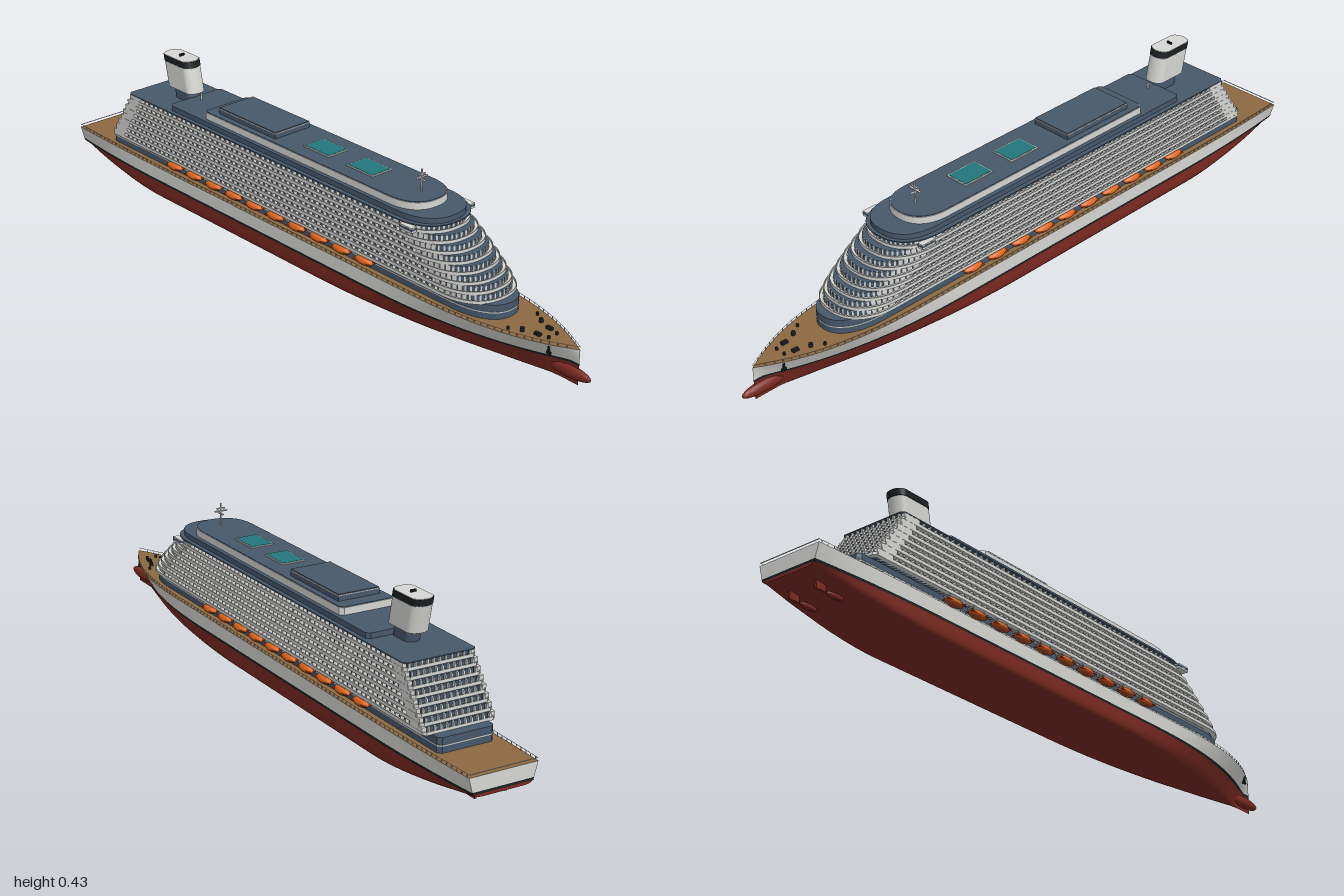
import * as THREE from 'three';
import { mergeGeometries } from 'three/addons/utils/BufferGeometryUtils.js';

const mat = (name, color) => {
  const m = new THREE.MeshStandardMaterial({ color, side: THREE.DoubleSide });
  m.name = name;
  return m;
};
const white = mat('white paint', 0xd6d6d3), blue = mat('slate blue', 0x46586b), red = mat('hull red', 0x7a2a21),
  dark = mat('black trim', 0x1b2022), wood = mat('teak deck', 0x8c6a42), orange = mat('lifeboat orange', 0xe0641c),
  rust = mat('lifeboat hull', 0xb4491a), teal = mat('pool water', 0x23757c);

const DECK = 0.1, WATER = 0.06, BOOT = 0.053;

// Hull half breadth at station x and level y
function halfBeam(x, y) {
  const s = Math.min(y / DECK, 1), start = 0.1 + 0.3 * s, nose = 0.88 + 0.08 * s;
  if (x > start) return 0.11 * Math.max(0, 1 - Math.pow(Math.min((x - start) / (nose - start), 1), 1.9 + 1.2 * s));
  if (x < -0.6) {
    const t = (-0.6 - x) / 0.4;
    return 0.11 * (1 - (0.08 + 0.25 * (1 - s)) * t * t);
  }
  return 0.11;
}
const keel = x => (x < -0.6 ? 0.045 * Math.pow((-0.6 - x) / 0.4, 1.5) : 0);

// Surface through a grid of points: rows of [x, y, z]
function loft(rows) {
  const n = rows[0].length, idx = [];
  for (let i = 0; i < rows.length - 1; i++)
    for (let j = 0; j < n - 1; j++) {
      const a = i * n + j, b = a + n;
      idx.push(a, b, a + 1, b, b + 1, a + 1);
    }
  const g = new THREE.BufferGeometry();
  g.setAttribute('position', new THREE.Float32BufferAttribute(rows.flat(2), 3));
  g.setIndex(idx);
  g.computeVertexNormals();
  return g;
}

function box(w, h, d, x, y, z, ry = 0) {
  return new THREE.BoxGeometry(w, h, d).rotateY(ry).translate(x, y, z);
}
const cyl = (r, h, x, y, z) => new THREE.CylinderGeometry(r, r, h, 10).translate(x, y, z);
const ball = (sx, sy, sz, x, y, z) => new THREE.SphereGeometry(1, 18, 12).scale(sx, sy, sz).translate(x, y, z);

// Deck outline with a square stern and a rounded front
function outline(back, front, w, nose) {
  const pts = [[back, -w + 0.01], [back + 0.01, -w]];
  for (let i = 0; i <= 24; i++) {
    const a = -Math.PI / 2 + (Math.PI * i) / 24, s = Math.sin(a);
    pts.push([front - nose + nose * Math.pow(Math.max(Math.cos(a), 0), 0.85), w * Math.sign(s) * Math.pow(Math.abs(s), 0.85)]);
  }
  pts.push([back + 0.01, w], [back, w - 0.01]);
  return pts.map(p => new THREE.Vector2(...p));
}
function prism(shape, y, h) {
  return new THREE.ExtrudeGeometry(shape, { depth: h, bevelEnabled: false, curveSegments: 12 })
    .rotateX(-Math.PI / 2).translate(0, y, 0);
}
const tier = (back, front, w, nose, y, h) => prism(new THREE.Shape(outline(back, front, w, nose)), y, h);
function ring(back, front, w, nose, y, h, t = 0.002) {
  const s = new THREE.Shape(outline(back, front, w, nose));
  s.holes.push(new THREE.Path(outline(back + t, front - t, w - t, nose)));
  return prism(s, y, h);
}

export function createModel() {
  const ship = new THREE.Group();
  ship.name = 'cruiseShip';
  const add = (name, material, ...geos) => {
    const list = geos.flat().map(g => (g.index ? g.toNonIndexed() : g));
    list.forEach(g => g.deleteAttribute('uv'));
    const m = new THREE.Mesh(mergeGeometries(list), material);
    m.name = name;
    ship.add(m);
  };

  // Hull: red bottom, black boot stripe and white topsides
  const stations = Array.from({ length: 71 }, (_, i) => -1 + (1.96 * i) / 70);
  const bottom = [[0, 0], [0, 0.6], [0.001, 0.84], [0.005, 0.95], [0.013, 1], [0.03, 1], [BOOT, 1]];
  const bands = [['hullBottom', red, bottom], ['bootStripe', dark, [[BOOT, 1], [WATER, 1]]],
    ['topsides', white, [[WATER, 1], [0.08, 1], [DECK, 1]]]];
  for (const [name, material, levels] of bands) {
    const point = (x, [l, f], side) => {
      const k = keel(x), y = l <= BOOT ? k + (l * (BOOT - k)) / BOOT : l;
      return [x, y, side * f * halfBeam(x, l)];
    };
    const sides = [1, -1].map(s => loft((s > 0 ? stations : [...stations].reverse()).map(x => levels.map(l => point(x, l, s)))));
    const transom = loft([-1, 1].map(s => levels.map(l => point(-1, l, s))));
    add(name, material, sides, transom);
  }
  add('mainDeck', wood, loft(stations.map(x => [1, -1].map(s => [x, DECK, s * halfBeam(x, DECK)]))));
  add('bulbousBow', red, ball(0.075, 0.018, 0.014, 0.925, 0.029, 0));

  // Deck edge railing
  const rails = [], anchors = [], gear = [], fins = [];
  for (const s of [1, -1]) {
    const edge = (x, y) => [x, y, s * Math.max(halfBeam(x, DECK) - 0.002, 0)];
    rails.push(loft(stations.map(x => [edge(x, 0.1075), edge(x, 0.109)])));
    for (let x = -0.99; x < 0.95; x += 0.02) {
      const [px, py, pz] = edge(x, 0.104);
      rails.push(box(0.0015, 0.009, 0.0015, px, py, pz));
    }
    // Anchors, rudders and drive pods
    anchors.push(box(0.004, 0.022, 0.006, 0.888, 0.083, s * 0.034), box(0.014, 0.006, 0.006, 0.888, 0.074, s * 0.033));
    fins.push(box(0.032, 0.032, 0.006, -0.935, 0.031, s * 0.045), box(0.01, 0.03, 0.006, -0.88, 0.025, s * 0.045),
      ball(0.03, 0.008, 0.008, -0.885, 0.018, s * 0.045));
    // Mooring gear
    gear.push(cyl(0.006, 0.01, 0.8, 0.105, s * 0.035), box(0.018, 0.008, 0.01, 0.84, 0.104, s * 0.022),
      cyl(0.004, 0.008, 0.87, 0.104, s * 0.015), cyl(0.004, 0.008, 0.77, 0.104, s * 0.055));
  }
  rails.push(box(0.0015, 0.002, 0.2, -0.999, 0.108, 0));
  add('deckRailing', white, rails);
  add('anchors', dark, anchors);
  add('ruddersAndPods', red, fins);
  add('mooringGear', dark, gear);

  // Promenade house under the balconies
  add('promenadeHouse', blue, tier(-0.85, 0.73, 0.083, 0.15, DECK, 0.041));
  add('promenadeTrim', white, tier(-0.851, 0.731, 0.084, 0.15, 0.118, 0.003));

  // Balcony decks, stepped back at both ends
  const H = 0.0194, N = 8, glass = [], slabs = [], partitions = [], ends = [];
  for (let i = 0; i < N; i++) {
    const t = i / (N - 1), y = 0.14 + i * H;
    const front = 0.705 - 0.17 * Math.pow(t, 1.2), back = -0.82 + 0.09 * t, nose = 0.13;
    glass.push(tier(back + 0.008, front - 0.01, 0.096, nose, y, H));
    slabs.push(tier(back, front, 0.108, nose, y, 0.004), ring(back, front, 0.108, nose, y + 0.004, 0.005));
    // Cabin partitions along the sides
    for (let x = back + 0.06; x < front - nose; x += 0.022)
      for (const s of [1, -1]) partitions.push(box(0.003, H, 0.011, x, y + H / 2, s * 0.1015));
    // Solid white quarters at the stern
    for (const s of [1, -1]) ends.push(box(0.055, H, 0.012, back + 0.035, y + H / 2, s * 0.1015));
    // Pillars around the rounded front and across the stern
    const wall = outline(back, front - 0.0095, 0.0965, nose).slice(2, -2);
    for (let j = 0; j < wall.length - 1; j++) {
      const a = wall[j], b = wall[j + 1], c = a.clone().lerp(b, 0.5), d = b.clone().sub(a);
      const wide = j < 5 || j > wall.length - 7 ? 0.75 : 0.4;
      partitions.push(box(d.length() * wide, H, 0.003, c.x, y + H / 2, -c.y, Math.atan2(d.y, d.x)));
    }
    for (let z = -0.09; z <= 0.091; z += 0.018) partitions.push(box(0.007, H, 0.005, back + 0.0045, y + H / 2, z));
  }
  add('cabinGlass', blue, glass);
  add('balconySlabs', white, slabs);
  add('balconyPartitions', white, partitions);
  add('sternQuarters', white, ends);

  // Bridge wings
  add('bridgeWings', white, [1, -1].map(s => box(0.045, 0.015, 0.018, 0.46, 0.287, s * 0.107)));
  add('bridgeWingWindows', blue, [1, -1].map(s => box(0.046, 0.006, 0.019, 0.46, 0.288, s * 0.107)));

  // Upper decks
  add('roofDeck', blue, tier(-0.73, 0.535, 0.108, 0.13, 0.2952, 0.003));
  add('skyLounge', blue, tier(-0.545, 0.525, 0.095, 0.12, 0.298, 0.0155));
  add('lidoWalls', white, tier(-0.4, 0.46, 0.083, 0.1, 0.3135, 0.02));
  add('lidoDeck', blue, tier(-0.398, 0.458, 0.081, 0.1, 0.3335, 0.002));
  add('sportsHouse', blue, box(0.245, 0.015, 0.126, -0.232, 0.343, 0));
  add('sportsHouseTrim', white, box(0.247, 0.002, 0.128, -0.232, 0.3505, 0));
  add('sportsHouseRoof', blue, box(0.243, 0.003, 0.124, -0.232, 0.353, 0));

  // Pools with white borders
  const pools = [0.03, 0.202];
  add('poolBorders', white, pools.map(x => box(0.102, 0.003, 0.074, x, 0.3365, 0)));
  add('poolWater', teal, pools.map(x => box(0.094, 0.001, 0.066, x, 0.3383, 0)));

  // Radar mast
  add('radarMast', white, cyl(0.0025, 0.064, 0.4, 0.367, 0), box(0.006, 0.003, 0.04, 0.4, 0.376, 0),
    box(0.03, 0.003, 0.006, 0.4, 0.368, 0), box(0.005, 0.003, 0.026, 0.4, 0.384, 0));
  add('aftPost', white, cyl(0.003, 0.02, -0.515, 0.323, 0));

  // Raked funnel with black band and exhaust pipes
  const rake = new THREE.Matrix4().set(1, -0.21, 0, -0.585, 0, 1, 0, 0.33, 0, 0, 1, 0, 0, 0, 0, 1);
  const oval = (l, w, y, h) => {
    const s = new THREE.Shape(), c = l - w * 0.75;
    s.absellipse(c, 0, w * 0.75, w, -Math.PI / 2, Math.PI / 2);
    s.absellipse(-c, 0, w * 0.75, w, Math.PI / 2, Math.PI * 1.5);
    return prism(s, y, h).applyMatrix4(rake);
  };
  add('funnelBase', blue, oval(0.04, 0.022, -0.033, 0.034));
  add('funnel', white, oval(0.061, 0.031, 0, 0.075), oval(0.06, 0.0305, 0.075, 0.0205));
  add('funnelBand', dark, oval(0.062, 0.032, 0.076, 0.018));
  add('exhaustPipes', dark, [-0.006, 0, 0.006].map(z => cyl(0.0028, 0.012, -0.603, 0.426, z)));

  // Lifeboats and davits
  const lower = [], upper = [], davits = [];
  for (let i = 0; i < 10; i++)
    for (const s of [1, -1]) {
      const x = -0.525 + i * 0.0905, z = s * 0.099;
      const half = (top, h) => new THREE.SphereGeometry(1, 16, 6, 0, Math.PI * 2, top ? 0 : Math.PI / 2, Math.PI / 2)
        .scale(0.033, h, 0.0135).translate(x, 0.123, z);
      upper.push(half(true, 0.013));
      lower.push(half(false, 0.011), box(0.064, 0.002, 0.024, x, 0.123, z));
      for (const d of [-0.02, 0.02]) davits.push(box(0.003, 0.003, 0.022, x + d, 0.1375, s * 0.093));
    }
  add('lifeboatCanopies', orange, upper);
  add('lifeboatHulls', rust, lower);
  add('davits', white, davits);

  return ship;
}
